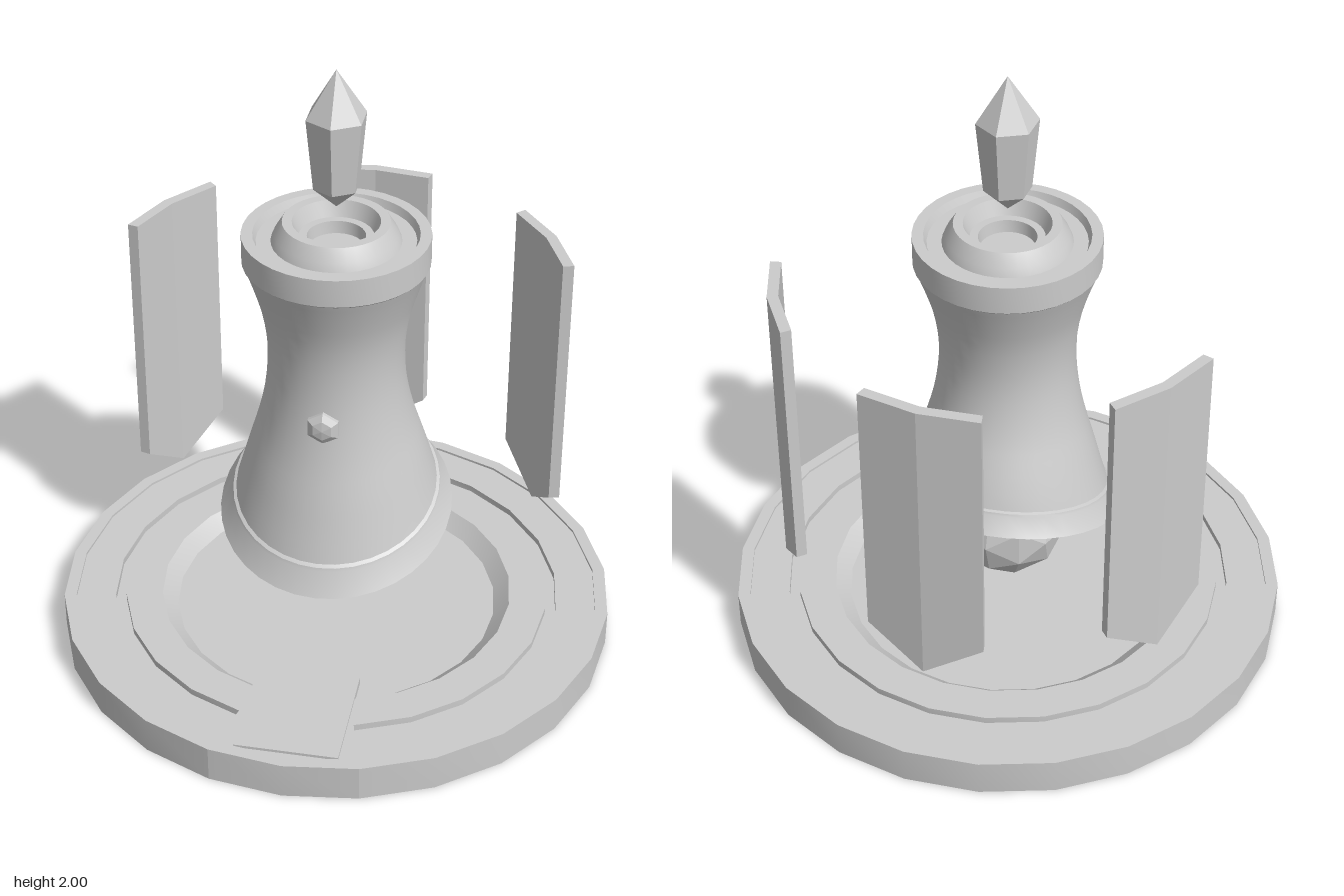
import * as THREE from 'three';
import { toCreasedNormals } from 'three/addons/utils/BufferGeometryUtils.js';

const smooth = new THREE.MeshStandardMaterial({ color: 0xcccccc, side: THREE.DoubleSide });
const faceted = new THREE.MeshStandardMaterial({ color: 0xcccccc, flatShading: true });
const SIDES = 24;
const STEP = (Math.PI * 2) / SIDES;

function addMesh(parent, name, geometry, material, x = 0, y = 0, z = 0) {
  const mesh = new THREE.Mesh(geometry, material);
  mesh.name = name;
  mesh.position.set(x, y, z);
  parent.add(mesh);
  return mesh;
}

const toPoints = (list) => list.map(([r, y]) => new THREE.Vector2(r, y));

function lathe(profile, segments, start = 0, length = Math.PI * 2) {
  return new THREE.LatheGeometry(toPoints(profile), segments, start, length);
}

// Open-bottomed dish; the groove holding the panels stops at the front ramp
function buildBase() {
  const base = new THREE.Group();
  base.name = 'base';
  const rim = [[0.905, 0], [0.905, 0.12], [0.865, 0.12], [0.865, 0.112]];
  const groove = [[0.735, 0.112], [0.735, 0.09], [0.7, 0.09], [0.7, 0.112]];
  const basin = [[0.58, 0.112], [0.53, 0.065], [0, 0.065]];
  const addSector = (name, profile, first, count) => addMesh(base, name,
    toCreasedNormals(lathe(profile, count, first * STEP, count * STEP), 0.6), smooth);
  addSector('groovedDish', [...rim, ...groove, ...basin], 1, SIDES - 2);
  addSector('frontDish', [...rim, ...basin], -1, 2);

  // Pointed ramp reaching over the basin, with a rib under each side
  const shape = new THREE.Shape(toPoints([
    [-0.163, -0.84], [0.163, -0.84], [0.163, -0.46], [0, -0.34], [-0.163, -0.46],
  ]));
  const ramp = new THREE.ExtrudeGeometry(shape, { depth: 0.025, bevelEnabled: false });
  ramp.rotateX(-Math.PI / 2);
  addMesh(base, 'frontRamp', ramp, faceted, 0, 0.096, 0);
  for (const side of [-1, 1]) {
    addMesh(base, 'rampRib', new THREE.BoxGeometry(0.01, 0.035, 0.26), faceted, side * 0.158, 0.08, 0.71);
  }
  return base;
}

// Curved panel of two facets with a pointed lower end
function buildPanel(angle) {
  const geometry = new THREE.BoxGeometry(1, 1, 1, 2, 1, 1);
  const p = geometry.attributes.position;
  for (let i = 0; i < p.count; i++) {
    const across = p.getX(i) * 2;
    const a = angle + across * STEP;
    const r = p.getZ(i) > 0 ? 0.735 : 0.7;
    const y = p.getY(i) > 0 ? 1.31 : 0.305 + 0.125 * Math.abs(across);
    p.setXYZ(i, r * Math.sin(a), y, r * Math.cos(a));
  }
  geometry.computeVertexNormals();
  return geometry;
}

// Hollow flared body whose lower end is sheared down towards the front
function buildBody() {
  const waist = new THREE.SplineCurve(toPoints([
    [0.325, 0.545], [0.28, 0.7], [0.25, 0.8], [0.228, 0.9], [0.216, 1.0],
    [0.217, 1.1], [0.232, 1.2], [0.262, 1.3], [0.285, 1.365],
  ])).getPoints(20).map((v) => [v.x, v.y]);
  const profile = [
    [0, 0.78], [0.2, 0.78], [0.27, 0.65], [0.315, 0.53], [0.355, 0.465], // inside
    [0.377, 0.465], [0.338, 0.53], [0.335, 0.54], // flange
    ...waist,
    [0.29, 1.37], [0.29, 1.46], [0.255, 1.46], [0.245, 1.435], [0.2, 1.435], // collar
    [0.19, 1.46], [0.165, 1.5], [0.135, 1.5], [0.115, 1.45], [0.09, 1.45], [0.085, 1.41], [0, 1.41], // socket
  ];
  const geometry = lathe(profile, 36);
  const p = geometry.attributes.position;
  for (let i = 0; i < p.count; i++) {
    const weight = THREE.MathUtils.clamp((1.1 - p.getY(i)) / 0.5, 0, 1);
    p.setY(i, p.getY(i) - 0.31 * weight * p.getZ(i));
  }
  return toCreasedNormals(geometry, 0.4);
}

export function createModel() {
  const model = new THREE.Group();
  model.name = 'floatingBellShrine';
  model.add(buildBase());

  for (const k of [-1, 0, 1]) {
    const name = ['leftPanel', 'backPanel', 'rightPanel'][k + 1];
    addMesh(model, name, buildPanel(Math.PI + k * Math.PI / 3), faceted);
  }

  addMesh(model, 'bellBody', buildBody(), smooth);
  addMesh(model, 'hangingBall', new THREE.IcosahedronGeometry(0.202, 1), faceted, 0, 0.36, 0);

  // Six-sided gem on the front of the body
  const gem = lathe([[0.055, -0.025], [0.055, 0.008], [0.034, 0.022], [0, 0.027]], 6);
  gem.rotateX(Math.PI / 2).rotateZ(Math.PI / 6);
  const gemMesh = addMesh(model, 'frontGem', toCreasedNormals(gem, 0.1), smooth, 0, 0.895, 0.222);
  gemMesh.geometry.rotateZ(-Math.PI / 6);

  // Six-sided crystal floating above the socket
  const crystal = lathe([[0, 1.55], [0.074, 1.62], [0.096, 1.85], [0, 2]], 6);
  addMesh(model, 'floatingCrystal', toCreasedNormals(crystal, 0.1), smooth);
  return model;
}
